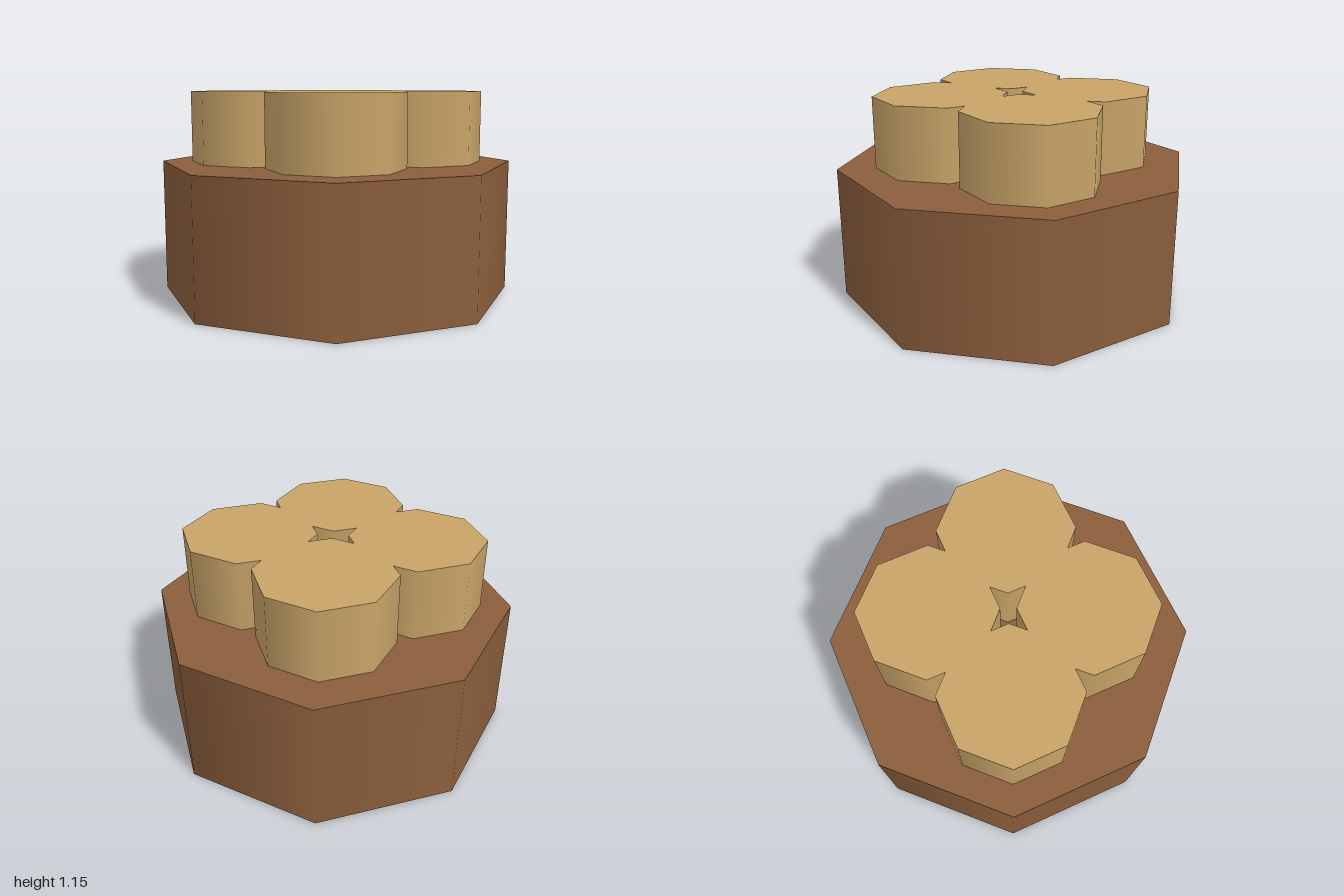
import * as THREE from 'three';

export function createModel() {
  const model = new THREE.Group();
  model.name = 'lobedPedestal';

  const brown = new THREE.MeshStandardMaterial({ color: 0x8b5e3c });
  brown.name = 'brown';
  const tan = new THREE.MeshStandardMaterial({ color: 0xc8a468 });
  tan.name = 'tan';

  // Eight-sided drum with smooth sides, standing on height y
  const addDrum = (name, radius, height, material, x, y, z) => {
    const drum = new THREE.Mesh(new THREE.CylinderGeometry(radius, radius, height, 8), material);
    drum.name = name;
    drum.position.set(x, y + height / 2, z);
    model.add(drum);
  };

  // Broad base
  addDrum('base', 1, 0.75, brown, 0, 0, 0);

  // Four overlapping lobes, leaving a small star-shaped gap in the middle
  const lobes = [
    ['leftLobe', 0.457, 0],
    ['rightLobe', -0.457, 0],
    ['frontLobe', 0, 0.415],
    ['backLobe', 0, -0.415],
  ];
  for (const [name, x, z] of lobes) addDrum(name, 0.373, 0.4, tan, x, 0.75, z);

  return model;
}
